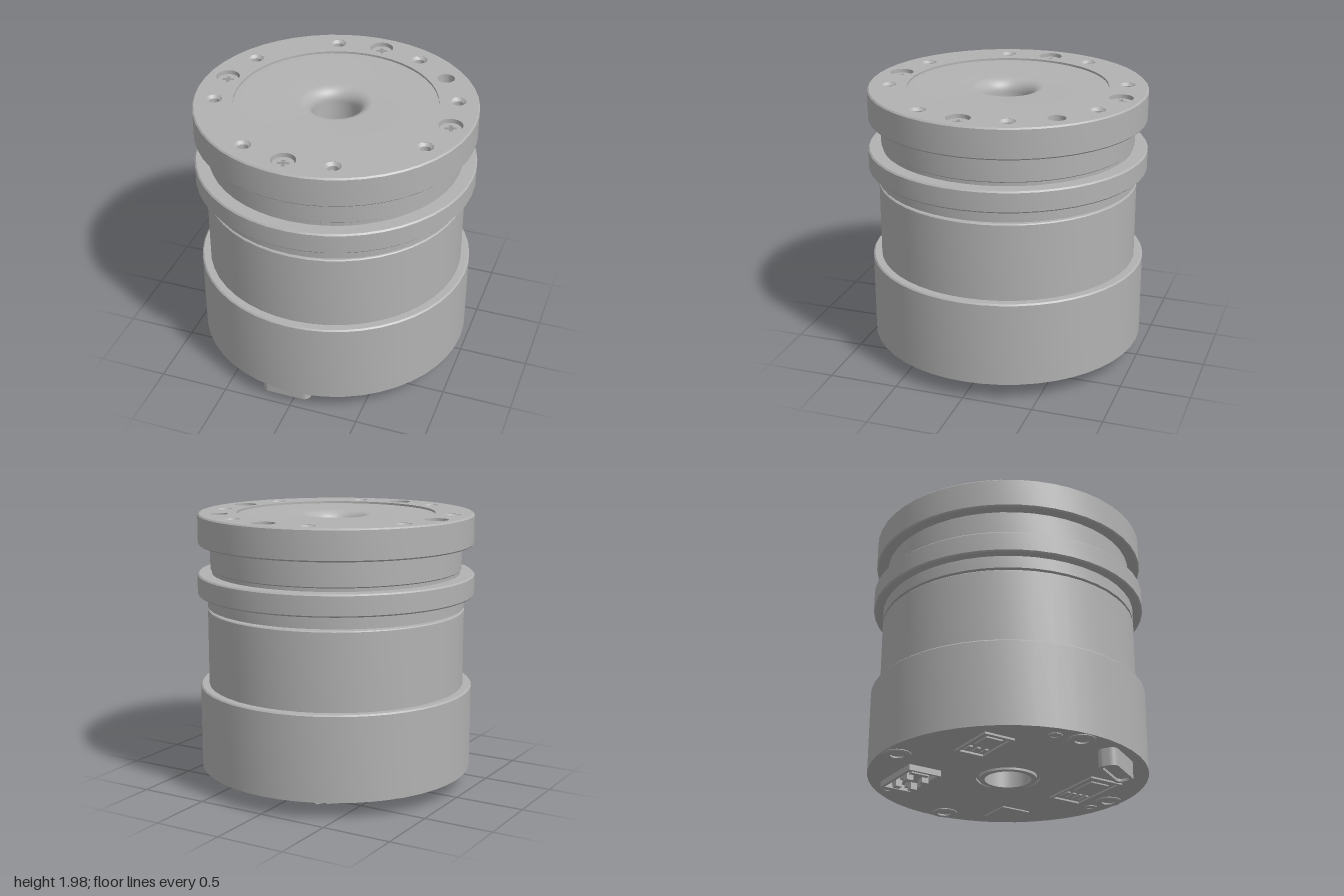
import * as THREE from 'three';
import { toCreasedNormals } from 'three/addons/utils/BufferGeometryUtils.js';

export function createModel() {
  const model = new THREE.Group();
  const metal = new THREE.MeshStandardMaterial({ color: 0xb2b2b2 });
  metal.name = 'machined grey';

  const add = (parent, name, geo, x = 0, y = 0, z = 0) => {
    const mesh = new THREE.Mesh(geo, metal);
    mesh.name = name;
    mesh.position.set(x, y, z);
    parent.add(mesh);
    return mesh;
  };
  const lathe = (pts, seg = 48) => toCreasedNormals(
    new THREE.LatheGeometry(pts.map(([r, y]) => new THREE.Vector2(r, y)), seg), 0.5);
  const box = (w, h, d) => new THREE.BoxGeometry(w, h, d);
  const circle = (path, x, z, r) => path.absarc(x, -z, r, 0, Math.PI * 2, false);
  // Extrude a plan-view shape upwards from y = 0
  const slab = (shape, h, seg) => toCreasedNormals(new THREE.ExtrudeGeometry(shape,
    { depth: h, bevelEnabled: false, curveSegments: seg }).rotateX(-Math.PI / 2), 0.5);
  const roundedRect = (path, w, d, r) => {
    const x = w / 2 - r, y = d / 2 - r;
    path.absarc(x, y, r, 0, Math.PI / 2);
    path.absarc(-x, y, r, Math.PI / 2, Math.PI);
    path.absarc(-x, -y, r, Math.PI, Math.PI * 1.5);
    path.absarc(x, -y, r, Math.PI * 1.5, Math.PI * 2);
    path.closePath();
    return path;
  };

  // Turned housing: base, stator, flange, neck, rotor rim and filleted bore
  const fillet = [];
  for (let i = 0; i <= 8; i++) {
    const a = (i / 8) * Math.PI / 2;
    fillet.push([0.255 - 0.09 * Math.sin(a), 1.87 + 0.09 * Math.cos(a)]);
  }
  add(model, 'housing', lathe([
    [0.165, 0.117], [0.205, 0.117], [0.205, 0.14], [0.225, 0.14], [0.225, 0.125],
    [0.99, 0.125], [0.99, 0.725], [0.98, 0.735], [0.928, 0.735],
    [0.928, 1.283], [0.921, 1.29], [0.85, 1.29], [0.85, 1.305], [0.928, 1.305], [0.928, 1.395],
    [0.988, 1.395], [0.998, 1.405], [0.998, 1.538], [0.988, 1.548], [0.895, 1.548],
    [0.895, 1.572], [0.905, 1.58], [0.905, 1.757], [0.98, 1.757],
    [0.99, 1.767], [0.99, 1.965], [0.98, 1.975], [0.98, 1.88],
    [0.712, 1.88], [0.712, 1.96], ...fillet, [0.165, 0.117]
  ]));

  // Four-fold positions of the rim holes and screws
  const quarterTurns = (x, z) => [[x, z], [-z, x], [-x, -z], [z, -x]];
  const holes = [...quarterTurns(0.38, -0.75), ...quarterTurns(-0.26, -0.8)];
  const screws = quarterTurns(0.065, -0.835);

  // Drilled ring on top
  const ring = new THREE.Shape();
  circle(ring, 0, 0, 0.98);
  const cut = (x, z, r) => ring.holes.push(circle(new THREE.Path(), x, z, r));
  cut(0, 0, 0.712);
  holes.forEach(([x, z]) => cut(x, z, 0.056));
  screws.forEach(([x, z]) => cut(x, z, 0.084));
  cut(0.635, -0.545, 0.062);
  add(model, 'rimPlate', slab(ring, 0.095, 24), 0, 1.88, 0);

  // Countersunk threaded holes
  const sink = lathe([[0.056, 1.974], [0.036, 1.955], [0.036, 1.92], [0, 1.89]], 20);
  holes.forEach(([x, z]) => add(model, 'threadedHole', sink, x, 0, z));

  // Cross-recessed screws
  const head = new THREE.Shape();
  circle(head, 0, 0, 0.074);
  const a = 0.012, b = 0.04;
  head.holes.push(new THREE.Path([
    [a, a], [b, a], [b, -a], [a, -a], [a, -b], [-a, -b],
    [-a, -a], [-b, -a], [-b, a], [-a, a], [-a, b], [a, b]
  ].map(([x, y]) => new THREE.Vector2(x, y))));
  const headGeo = slab(head, 0.07, 12);
  screws.forEach(([x, z], i) => {
    add(model, 'screwHead', headGeo, x, 1.88, z).rotation.y = 0.3 - i * Math.PI / 2;
  });

  // Underside fittings, turned relative to the housing
  const under = new THREE.Group();
  under.name = 'undersideFittings';
  under.rotation.y = -0.542;
  model.add(under);

  const boss = lathe([[0, 0.124], [0.048, 0.124], [0.048, 0.112], [0.085, 0.112], [0.095, 0.12], [0.095, 0.13]], 24);
  quarterTurns(0, -0.885).forEach(([x, z]) => add(under, 'mountingBoss', boss, x, 0, z));
  const eyelet = lathe([[0, 0.123], [0.028, 0.123], [0.028, 0.119], [0.05, 0.119], [0.05, 0.13]], 20);
  [[0.86, -0.19], [-0.61, -0.65], [-0.19, 0.85]].forEach(([x, z]) => add(under, 'eyelet', eyelet, x, 0, z));
  add(under, 'chip', box(0.23, 0.02, 0.26), 0.41, 0.126, -0.65);

  // Open socket: a frame around contact bars; drop is how far it hangs down
  const socket = (name, x, z, w, d, drop, pins) => {
    const group = new THREE.Group();
    group.name = name;
    group.position.set(x, 0.13, z);
    under.add(group);
    const t = 0.022, h = drop + 0.005, y = -h / 2;
    for (const s of [-1, 1]) {
      add(group, 'sideWall', box(t, h, d), s * (w - t) / 2, y, 0);
      add(group, 'endWall', box(w, h, t), 0, y, s * (d - t) / 2);
    }
    add(group, 'contactBlock', box(w * 0.55, h * 0.8, d * 0.4), 0, y * 0.8, d * 0.14);
    for (let i = 0; i < pins; i++) {
      add(group, 'contact', box(0.025, h * 0.8, d * 0.2), ((i + 0.5) / pins - 0.5) * w * 0.8, y * 0.8, -d * 0.27);
    }
    return group;
  };
  socket('sideSocket', 0.6, 0.1, 0.27, 0.52, 0.013, 4);
  socket('smallSocket', -0.49, 0.47, 0.23, 0.38, 0.014, 3);
  const power = socket('powerSocket', -0.6, -0.33, 0.25, 0.42, 0.042, 2);
  for (const x of [-0.06, 0.06]) for (const z of [-0.08, 0.08]) {
    add(power, 'powerPin', box(0.05, 0.075, 0.05), x, -0.0375, z);
  }

  // Data port hanging below the front edge
  const port = roundedRect(new THREE.Shape(), 0.36, 0.14, 0.05);
  port.holes.push(roundedRect(new THREE.Path(), 0.31, 0.09, 0.035));
  add(model, 'dataPort', slab(port, 0.13, 8), -0.07, 0, 0.84);
  add(model, 'dataPortFloor', box(0.32, 0.02, 0.1), -0.07, 0.03, 0.84);

  return model;
}
